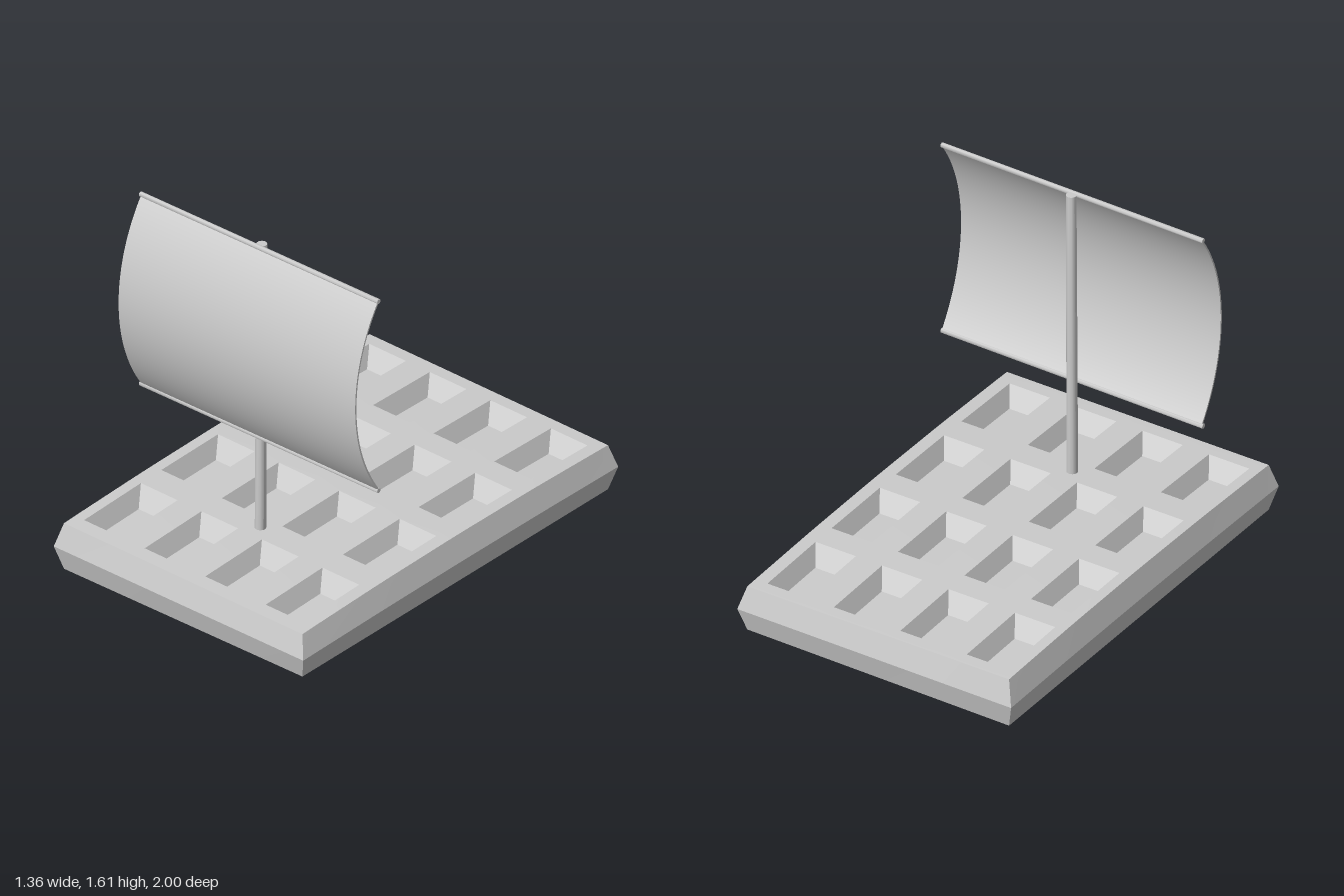
import * as THREE from 'three';
import { toCreasedNormals } from 'three/addons/utils/BufferGeometryUtils.js';

const material = new THREE.MeshStandardMaterial({ color: 0xcccccc });

// Grid lines of the deck: every second strip is a pit
const xCuts = [-0.65, -0.6, -0.4, -0.27, -0.07, 0.06, 0.26, 0.39, 0.59, 0.65];
const zCuts = [-0.97, -0.91, -0.55, -0.43, -0.07, 0.05, 0.41, 0.54, 0.9, 0.97];
const pitDepth = 0.085, insetX = 0.035, insetZ = 0.055;

// Gently bowed top surface over a flat underside
const topY = (x, z) => 0.235 - 0.018 * z * z - 0.004 * z - 0.012 * x;

function addMesh(group, name, geometry) {
  const mesh = new THREE.Mesh(geometry, material);
  mesh.name = name;
  group.add(mesh);
  return mesh;
}

function raftGeometry() {
  const positions = [];
  const quad = (a, b, c, d) => positions.push(...a, ...b, ...c, ...a, ...c, ...d);

  // Deck and underside: flat ribs around sunken, tapered pits
  for (const side of [1, -1]) {
    const point = (x, z, depth) => [x, side > 0 ? topY(x, z) - depth : depth, z];
    const face = (a, b, c, d) => (side > 0 ? quad(a, b, c, d) : quad(d, c, b, a));
    const rect = (x0, x1, z0, z1, depth) => [
      point(x0, z0, depth), point(x0, z1, depth), point(x1, z1, depth), point(x1, z0, depth)];
    for (let i = 0; i < 9; i++) {
      for (let j = 0; j < 9; j++) {
        const [x0, x1, z0, z1] = [xCuts[i], xCuts[i + 1], zCuts[j], zCuts[j + 1]];
        const rim = rect(x0, x1, z0, z1, 0);
        if (i % 2 === 0 || j % 2 === 0) {
          face(...rim);
          continue;
        }
        const floor = rect(x0 + insetX, x1 - insetX, z0 + insetZ, z1 - insetZ, pitDepth);
        face(...floor);
        for (let k = 0; k < 4; k++) {
          const n = (k + 1) % 4;
          face(rim[k], rim[n], floor[n], floor[k]);
        }
      }
    }
  }

  // Outer edge, bulging at mid height
  const outline = [];
  for (let i = 0; i < 9; i++) outline.push([xCuts[i], 0.97]);
  for (let i = 9; i > 0; i--) outline.push([0.65, zCuts[i]]);
  for (let i = 9; i > 0; i--) outline.push([xCuts[i], -0.97]);
  for (let i = 0; i < 9; i++) outline.push([-0.65, zCuts[i]]);
  const levels = ([x, z]) => {
    const y = topY(x, z);
    return [[x, 0, z], [x * 0.68 / 0.65, y * 0.5, z / 0.97], [x, y, z]];
  };
  outline.forEach((p, i) => {
    const a = levels(p), b = levels(outline[(i + 1) % outline.length]);
    for (let k = 0; k < 2; k++) quad(a[k], b[k], b[k + 1], a[k + 1]);
  });

  const geometry = new THREE.BufferGeometry();
  geometry.setAttribute('position', new THREE.Float32BufferAttribute(positions, 3));
  return toCreasedNormals(geometry, 0.35);
}

function sailGeometry() {
  // Thin circular arc in the (z, y) plane, swept across the width
  const halfChord = 0.46, bulge = 0.145, thickness = 0.008, width = 1.29;
  const radius = (halfChord ** 2 + bulge ** 2) / (2 * bulge);
  const angle = Math.asin(halfChord / radius);
  const centreZ = 0.635 - radius;
  const shape = new THREE.Shape();
  shape.absarc(-centreZ, 1.14, radius, Math.PI - angle, Math.PI + angle, false);
  shape.absarc(-centreZ, 1.14, radius - thickness, Math.PI + angle, Math.PI - angle, true);
  const geometry = new THREE.ExtrudeGeometry(shape, {
    depth: width, bevelEnabled: false, curveSegments: 32 });
  // Local x becomes -z, local z becomes x
  geometry.rotateY(Math.PI / 2);
  geometry.translate(-width / 2 + 0.005, 0, 0);
  return toCreasedNormals(geometry, 0.5);
}

export function createModel() {
  const model = new THREE.Group();
  model.name = 'waffleRaft';

  addMesh(model, 'raft', raftGeometry());

  // Mast, leaning very slightly
  const mast = addMesh(model, 'mast',
    toCreasedNormals(new THREE.CylinderGeometry(0.023, 0.025, 1.4, 10), 0.8));
  mast.position.set(-0.005, 0.905, 0.469);
  mast.rotation.x = -0.006;

  addMesh(model, 'sail', sailGeometry());

  // Yards along the upper and lower sail edges
  for (const [name, y] of [['upperYard', 1.599], ['lowerYard', 0.679]]) {
    const yard = addMesh(model, name,
      toCreasedNormals(new THREE.CylinderGeometry(0.011, 0.011, 1.3, 8), 0.8));
    yard.rotation.z = Math.PI / 2;
    yard.position.set(0.003, y, 0.488);
  }
  return model;
}
